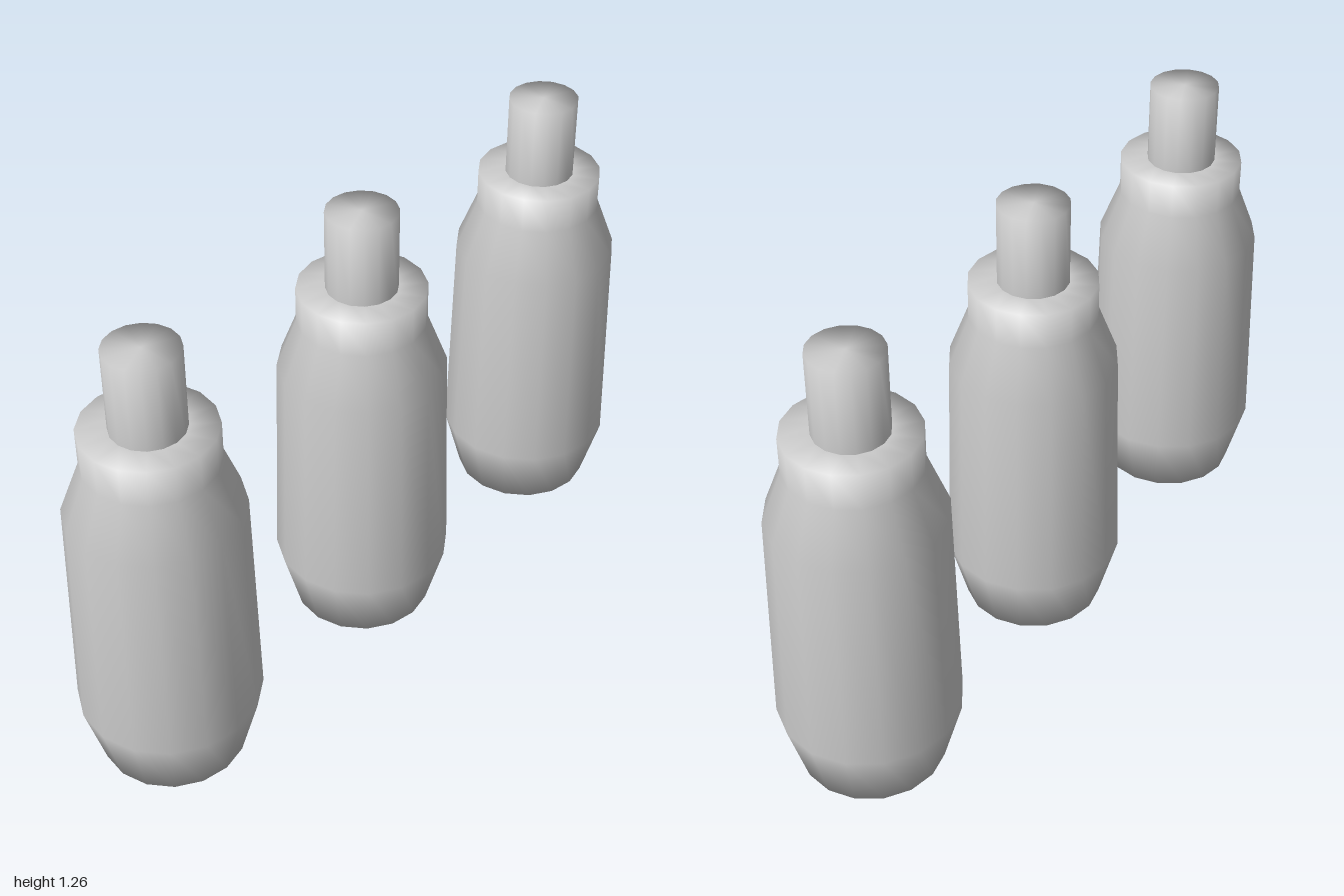
import * as THREE from 'three';

const SIDES = 16;
const SPACING = 0.76;

// Revolved solid from [radius, height] pairs listed bottom to top
function lathe(name, profile, material) {
  const points = profile.map(([r, y]) => new THREE.Vector2(r, y));
  const mesh = new THREE.Mesh(new THREE.LatheGeometry(points, SIDES), material);
  mesh.name = name;
  return mesh;
}

function createBottle(material) {
  const bottle = new THREE.Group();
  bottle.name = 'bottle';

  // Tapered body with sloping shoulder and straight collar
  bottle.add(lathe('body', [
    [0, 0], [0.19, 0], [0.24, 0.18], [0.225, 0.795],
    [0.171, 0.935], [0.171, 1.035], [0.09, 1.035], [0, 1.035],
  ], material));

  // Narrow spout standing on the collar
  bottle.add(lathe('spout', [
    [0.095, 1.03], [0.095, 1.26], [0, 1.26],
  ], material));
  return bottle;
}

export function createModel() {
  const grey = new THREE.MeshStandardMaterial({ color: 0xcccccc });
  grey.name = 'light grey';

  // Row of three identical bottles
  const model = new THREE.Group();
  model.name = 'bottles';
  for (const i of [-1, 0, 1]) {
    const bottle = createBottle(grey);
    bottle.position.x = i * SPACING;
    model.add(bottle);
  }
  return model;
}
